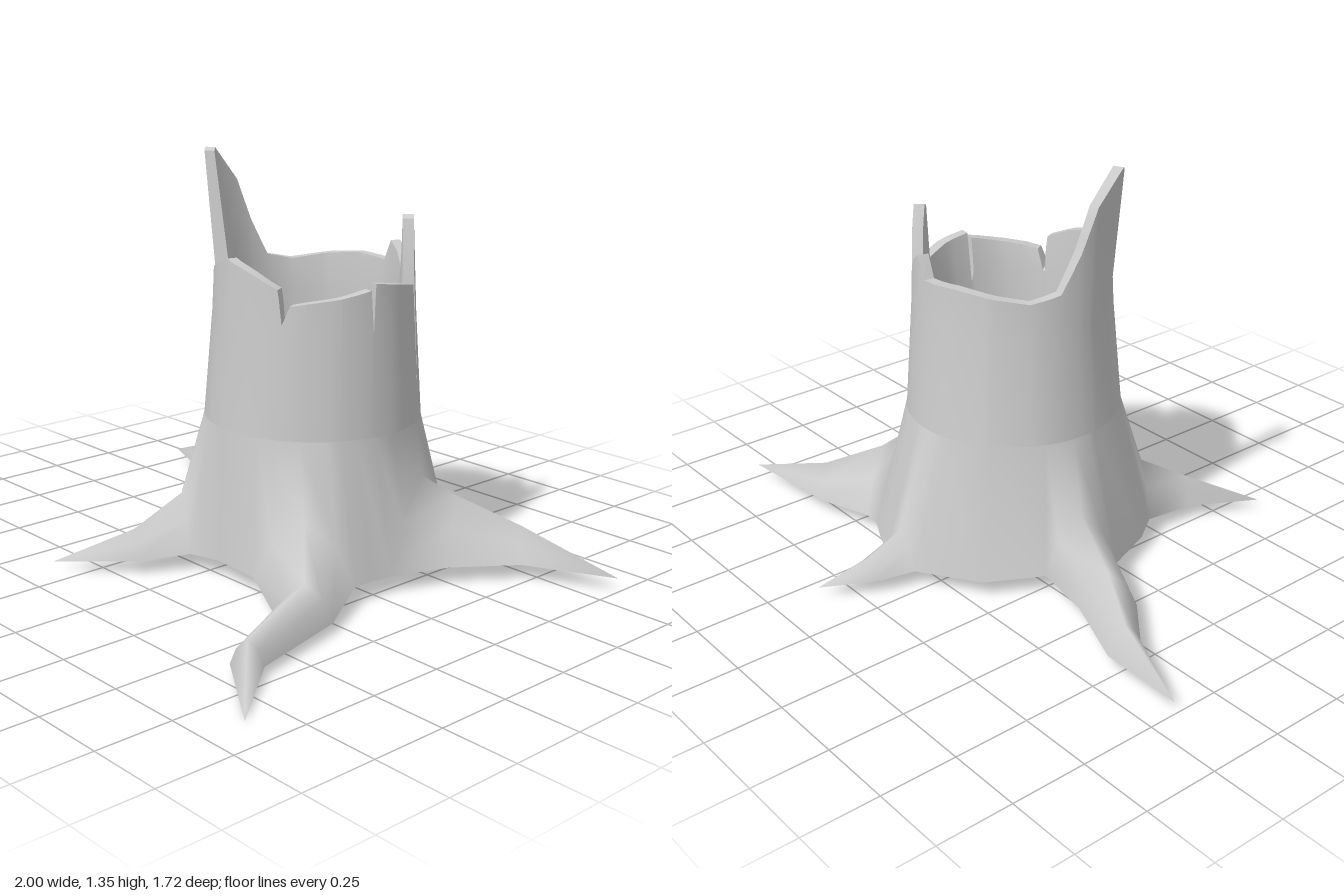
import * as THREE from 'three';
import { mergeVertices, toCreasedNormals } from 'three/addons/utils/BufferGeometryUtils.js';

// Each root, counter-clockwise from above, as sections running outwards:
// [first edge x, z, second edge x, z, bottom y, top y]; "valley" is the ground point after it.
const ROOTS = [
  { name: 'backRightRoot', valley: [0.27, -0.55], sections: [
    [0.53, -0.05, 0.35, -0.51, 0.06, 0.32], [0.6, -0.24, 0.42, -0.5, 0.06, 0.25],
    [0.73, -0.44, 0.62, -0.56, 0.055, 0.16], [1, -0.59, 1, -0.59, 0.05, 0.05]] },
  { name: 'backRoot', valley: [-0.17, -0.46], sections: [
    [0.19, -0.58, 0.03, -0.58, 0.055, 0.17], [0.17, -0.7, 0.065, -0.7, 0.05, 0.11],
    [0.17, -0.86, 0.17, -0.86, 0.04, 0.04]] },
  { name: 'leftRoot', valley: [-0.29, 0.12], sections: [
    [-0.27, -0.28, -0.36, -0.06, 0.06, 0.26], [-0.48, -0.32, -0.58, -0.17, 0.06, 0.18],
    [-0.72, -0.415, -0.74, -0.3, 0.055, 0.145], [-1, -0.41, -1, -0.41, 0.045, 0.045]] },
  { name: 'frontLeftRoot', valley: [0.07, 0.27], sections: [
    [-0.22, 0.22, -0.04, 0.3, 0.06, 0.24], [-0.23, 0.4, -0.12, 0.45, 0.05, 0.14],
    [-0.335, 0.635, -0.335, 0.635, 0.035, 0.035]] },
  { name: 'frontRightRoot', valley: [0.52, 0.03], sections: [
    [0.25, 0.28, 0.52, 0.1, 0.06, 0.26], [0.49, 0.4, 0.63, 0.3, 0.035, 0.155],
    [0.63, 0.7, 0.71, 0.64, 0.03, 0.11], [0.88, 0.86, 0.88, 0.86, 0.003, 0.003]] },
];

// Broken rim: [angle in degrees, height, outward lean]
const RIM = [
  [-180, 1.1, 0.01], [-170, 1.24, 0.025], [-156, 1.35, 0.06], [-153, 1.34, 0.055], [-151, 0.95, 0],
  [-142, 0.97, 0], [-122, 1.0, 0], [-102, 1.04, 0], [-82, 1.01, 0], [-65, 0.97, 0], [-62, 0.86, 0],
  [-58, 0.92, 0], [-49, 0.93, 0], [-30, 0.945, 0], [-12, 0.965, 0], [-10.5, 0.82, 0], [-9, 0.985, 0],
  [10, 0.97, 0], [30, 0.95, 0], [31, 0.6, 0], [32, 0.97, 0], [39, 1.15, -0.01], [44, 1.16, -0.01],
  [60, 0.98, 0], [66, 1.02, 0], [75, 1.05, 0], [82, 0.98, 0], [105, 0.99, 0], [125, 0.98, 0],
  [150, 0.96, 0], [168, 0.98, 0], [180, 1.1, 0.01],
];

const JOIN = 0.5; // height where the flared base meets the upper trunk
const { lerp, clamp, degToRad } = THREE.MathUtils;

// Point on the tapering trunk, inset for the inner wall
function trunkPoint(angle, y, offset = 0) {
  const t = clamp((y - 0.5) / 0.42, 0, 1);
  const c = Math.cos(angle), s = Math.sin(angle);
  return [
    lerp(0.105, 0.12, t) + c * (lerp(0.355, 0.332, t) + offset), y,
    lerp(-0.105, -0.095, t) - s * (lerp(0.355, 0.315, t) + offset)];
}

// Skin between rings of points, ordered bottom to top and counter-clockwise from above
function loft(rings, closed, out = []) {
  for (let i = 0; i < rings.length - 1; i++) {
    const lo = rings[i], hi = rings[i + 1], n = lo.length;
    for (let j = 0; j < (closed ? n : n - 1); j++) {
      const k = (j + 1) % n;
      out.push(lo[j], lo[k], hi[j], lo[k], hi[k], hi[j]);
    }
  }
  return out;
}

function toGeometry(points) {
  const g = new THREE.BufferGeometry();
  g.setAttribute('position', new THREE.Float32BufferAttribute(points.flat(), 3));
  return g;
}

function smooth(points) {
  const g = mergeVertices(toGeometry(points), 1e-4);
  g.computeVertexNormals();
  return g;
}

// Arched cross-section of a root
function arch([ax, az, bx, bz, bottom, top]) {
  return [[0, 0], [0.18, 0.6], [0.5, 1], [0.82, 0.6], [1, 0]].map(([t, h]) =>
    [lerp(ax, bx, t), lerp(bottom, top, h), lerp(az, bz, t)]);
}

export function createModel() {
  const group = new THREE.Group();
  const material = new THREE.MeshStandardMaterial({ color: 0xcccccc, side: THREE.DoubleSide });
  const add = (name, geometry) => {
    const mesh = new THREE.Mesh(geometry, material);
    mesh.name = name;
    group.add(mesh);
  };

  // Flared base and roots share one smooth skin
  const joint = [], outline = [], skin = [], under = [];
  for (const { sections, valley } of ROOTS) {
    const arches = sections.map(arch);
    const valleyPoint = [valley[0], 0.06, valley[1]];
    joint.push(...arches[0], valleyPoint);
    outline.push(arches[0][0], arches[0][4], valleyPoint);
    loft([...arches].reverse(), false, skin);
    for (let i = 0; i < arches.length - 1; i++) {
      const a0 = arches[i][0], b0 = arches[i][4], a1 = arches[i + 1][0], b1 = arches[i + 1][4];
      under.push(a0, b0, a1, b0, b1, a1);
    }
  }
  const angles = joint.map(([x, , z]) => Math.atan2(-(z + 0.12), x - 0.12));
  loft([joint, angles.map((a) => trunkPoint(a, JOIN))], true, skin);
  add('flaredBaseWithRoots', smooth(skin));

  // Flat underside
  outline.forEach((p, i) => under.push([0.12, 0.06, -0.12], outline[(i + 1) % outline.length], p));
  add('underside', smooth(under));

  // Columns of the upper trunk: rim corners plus the base columns
  const columns = RIM.slice(0, -1).map(([d, h, lean]) => ({ a: degToRad(d), h, lean }));
  for (const a of angles) {
    const i = RIM.findIndex(([d]) => degToRad(d) > a);
    const [d0, h0, l0] = RIM[i - 1], [d1, h1, l1] = RIM[i];
    const t = (a - degToRad(d0)) / degToRad(d1 - d0);
    columns.push({ a, h: lerp(h0, h1, t), lean: lerp(l0, l1, t) });
  }
  columns.sort((p, q) => p.a - q.a);

  // Upper trunk: outer wall, splintered rim and hollow inside
  const ring = (height, offset) => columns.map((c) => trunkPoint(c.a, height(c), offset(c)));
  const mid = (c) => Math.min(0.85, c.h - 0.01);
  const rim = (c) => c.h;
  const wall = loft([
    ring(() => JOIN, () => 0),
    ring(mid, () => 0),
    ring(rim, (c) => c.lean),
    ring(rim, (c) => c.lean - 0.035),
    ring(mid, () => -0.05),
    ring(() => 0.56, () => -0.06),
  ], true);
  add('brokenTrunk', toCreasedNormals(toGeometry(wall), 0.8));

  // Bowl-shaped floor of the hollow
  const floor = loft([
    ring(() => 0.56, () => -0.06),
    ring(() => 0.52, () => -0.17),
    columns.map(() => [0.11, 0.5, -0.1]),
  ], true);
  add('hollowFloor', smooth(floor));

  return group;
}
